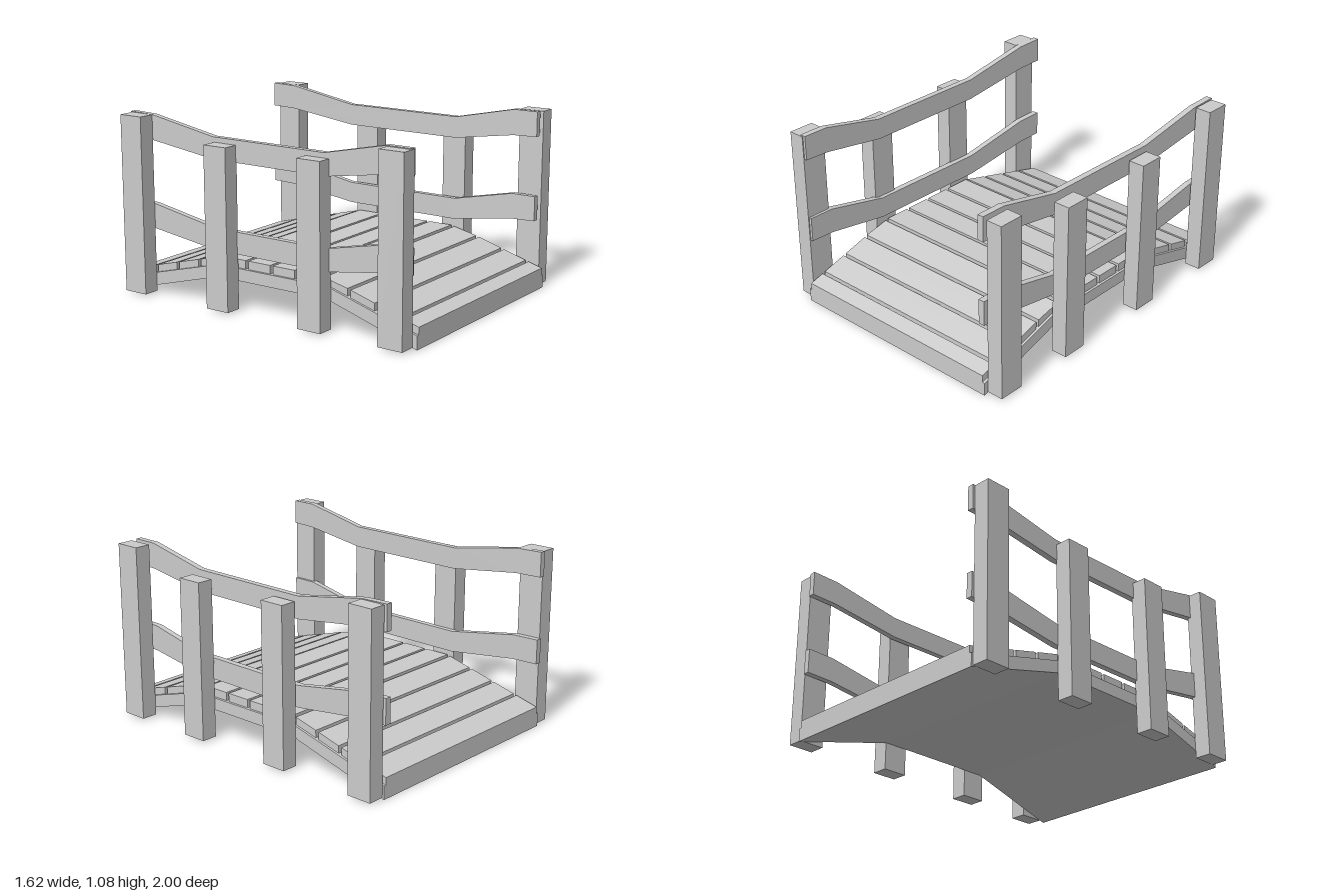
import * as THREE from 'three';

const material = new THREE.MeshStandardMaterial({ color: 0xcccccc, flatShading: true });

// Extrudes a [z, y] side profile across x, centred on x = 0
function sideProfile(points, width) {
  const shape = new THREE.Shape(points.map(([z, y]) => new THREE.Vector2(z, y)));
  const geometry = new THREE.ExtrudeGeometry(shape, { depth: width, bevelEnabled: false });
  geometry.translate(0, 0, -width / 2);
  geometry.rotateY(-Math.PI / 2);
  return geometry;
}

// Closes a band between an upper and a lower line
const band = (upper, lower) => [...upper, ...[...lower].reverse()];

// Height along a line of [z, y] points running from front to back
function heightAt(line, z) {
  for (let i = 0; i < line.length - 1; i++) {
    const [z0, y0] = line[i], [z1, y1] = line[i + 1];
    if (z >= z1 - 1e-6) return y0 + (y1 - y0) * (z - z0) / (z1 - z0);
  }
  return line[line.length - 1][1];
}

export function createModel() {
  const bridge = new THREE.Group();
  bridge.name = 'footbridge';
  const add = (name, geometry, parent = bridge) => {
    const mesh = new THREE.Mesh(geometry, material);
    mesh.name = name;
    parent.add(mesh);
    return mesh;
  };

  // Arched base slab
  const deckTop = [[1, 0.08], [0.42, 0.25], [-0.35, 0.25], [-1, 0.08]];
  const deckBottom = [[1, 0], [0.42, 0.177], [-0.35, 0.177], [-1, 0]];
  add('base', sideProfile(band(deckTop, deckBottom), 1.42));

  // Planks laid across the base, separated by narrow gaps
  const planks = new THREE.Group();
  planks.name = 'planks';
  bridge.add(planks);
  const gaps = [0.9, 0.73, 0.553, 0.375, 0.195, 0.023, -0.153, -0.337, -0.507, -0.675, -0.843];
  const edges = [1.01, ...gaps, -1.01];
  for (let i = 0; i < edges.length - 1; i++) {
    const front = edges[i] - 0.01, back = edges[i + 1] + 0.01;
    const lower = [[front, heightAt(deckTop, front)], [back, heightAt(deckTop, back)]];
    const thickness = front < 0.4 && back > -0.34 ? 0.05 : 0.044;
    const upper = lower.map(([z, y]) => [z, y + thickness]);
    add('plank', sideProfile(band(upper, lower), 1.39), planks);
  }

  // Four posts on each side, the end ones taller
  const posts = [[0.893, 1.075], [0.365, 0.965], [-0.282, 0.965], [-0.91, 1.075]];
  for (const side of [-1, 1]) {
    for (const [z, top] of posts) {
      const post = add('post', new THREE.BoxGeometry(0.1, top - 0.01, 0.156));
      post.position.set(side * 0.76, (top + 0.01) / 2, z);
    }
  }

  // Bent handrails, both running slightly askew to the deck
  function rail(name, x, drop) {
    const upper = [[0.965, 1.08], [0.81, 1.08], [0.41, 0.995], [-0.37, 0.995], [-0.83, 1.075], [-1, 1.08]];
    const lower = [[0.965, 0.93], [0.81, 0.925], [0.41, 0.865], [-0.37, 0.865], [-0.83, 0.925], [-1, 0.93]];
    const geometry = sideProfile(band(upper, lower), 0.038);
    const p = geometry.attributes.position;
    for (let i = 0; i < p.count; i++) p.setX(i, p.getX(i) - 0.0125 * p.getZ(i));
    geometry.computeVertexNormals();
    add(name, geometry).position.set(x, -drop, 0);
  }
  rail('rightUpperRail', -0.7, 0);
  rail('rightLowerRail', -0.7, 0.53);
  rail('leftUpperRail', 0.672, 0);
  rail('leftLowerRail', 0.672, 0.51);

  return bridge;
}
